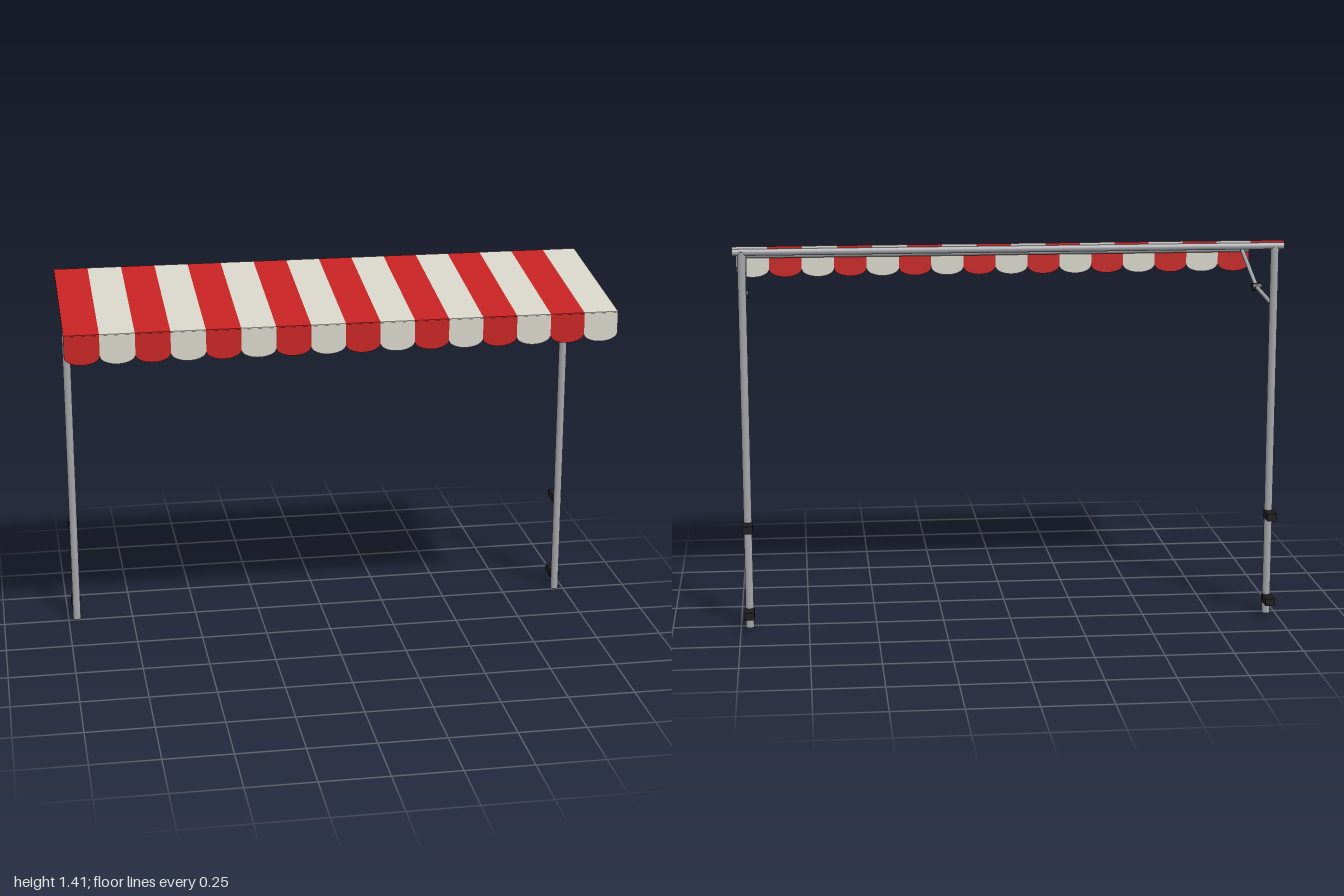
import * as THREE from 'three';

const mat = (name, color) => new THREE.MeshStandardMaterial({ name, color });

export function createModel() {
  const red = mat('red fabric', 0xc62222);
  const cream = mat('cream fabric', 0xd6d4c8);
  const metal = mat('grey metal', 0xa2a4a8);
  const black = mat('black plastic', 0x1c1c1e);

  const model = new THREE.Group();
  model.name = 'awning';

  const add = (name, geometry, material, x = 0, y = 0, z = 0) => {
    const mesh = new THREE.Mesh(geometry, material);
    mesh.name = name;
    mesh.position.set(x, y, z);
    model.add(mesh);
    return mesh;
  };

  // Round bar between two points
  const bar = (name, a, b, radius, material) => {
    const from = new THREE.Vector3(...a), to = new THREE.Vector3(...b);
    const dir = to.clone().sub(from);
    const mesh = add(name, new THREE.CylinderGeometry(radius, radius, dir.length(), 20), material);
    mesh.position.copy(from).add(to).multiplyScalar(0.5);
    mesh.quaternion.setFromUnitVectors(new THREE.Vector3(0, 1, 0), dir.normalize());
    return mesh;
  };

  const stripes = 16, width = 2 / stripes;

  // Sloping canopy strip: side profile (z, y) extruded across one stripe
  const slope = new THREE.Shape([
    [-0.272, 1.412], [-0.272, 1.403], [0.337, 1.316], [0.337, 1.325],
  ].map(([z, y]) => new THREE.Vector2(-z, y)));
  const slopeGeo = new THREE.ExtrudeGeometry(slope, { depth: width, bevelEnabled: false });
  slopeGeo.rotateY(Math.PI / 2);

  // Scalloped valance panel
  const scallop = new THREE.Shape();
  scallop.moveTo(width, 1.322);
  scallop.lineTo(0, 1.322);
  scallop.lineTo(0, 1.247);
  scallop.absellipse(width / 2, 1.247, width / 2, 0.031, Math.PI, Math.PI * 2, false);
  scallop.closePath();
  const valanceGeo = new THREE.ExtrudeGeometry(scallop, {
    depth: 0.007, bevelEnabled: false, curveSegments: 16,
  });

  for (let i = 0; i < stripes; i++) {
    const x = -1 + i * width;
    const fabric = i % 2 ? cream : red;
    add('canopyStripe', slopeGeo, fabric, x);
    add('valanceScallop', valanceGeo, fabric, x, 0, 0.332);
  }

  // Rails under the rear and front edges
  bar('rearRail', [-1, 1.391, -0.265], [1, 1.391, -0.265], 0.013, metal);
  bar('frontRail', [-0.995, 1.304, 0.319], [0.995, 1.304, 0.319], 0.012, metal);

  // Posts, folding arms and wall brackets, mirrored
  for (const side of [-1, 1]) {
    const x = side * 0.967;
    bar('post', [x, 0, -0.265], [x, 1.393, -0.265], 0.015, metal);
    bar('lowerArm', [x, 1.17, -0.265], [x, 1.196, 0.028], 0.008, metal);
    bar('upperArm', [x, 1.196, 0.028], [x, 1.304, 0.319], 0.008, metal);
    bar('elbowJoint', [x - 0.017, 1.196, 0.028], [x + 0.017, 1.196, 0.028], 0.016, black);
    for (const y of [0.06, 0.386]) {
      add('wallBracket', new THREE.BoxGeometry(0.036, 0.027, 0.075), black, x, y, -0.3025);
    }
  }

  return model;
}
